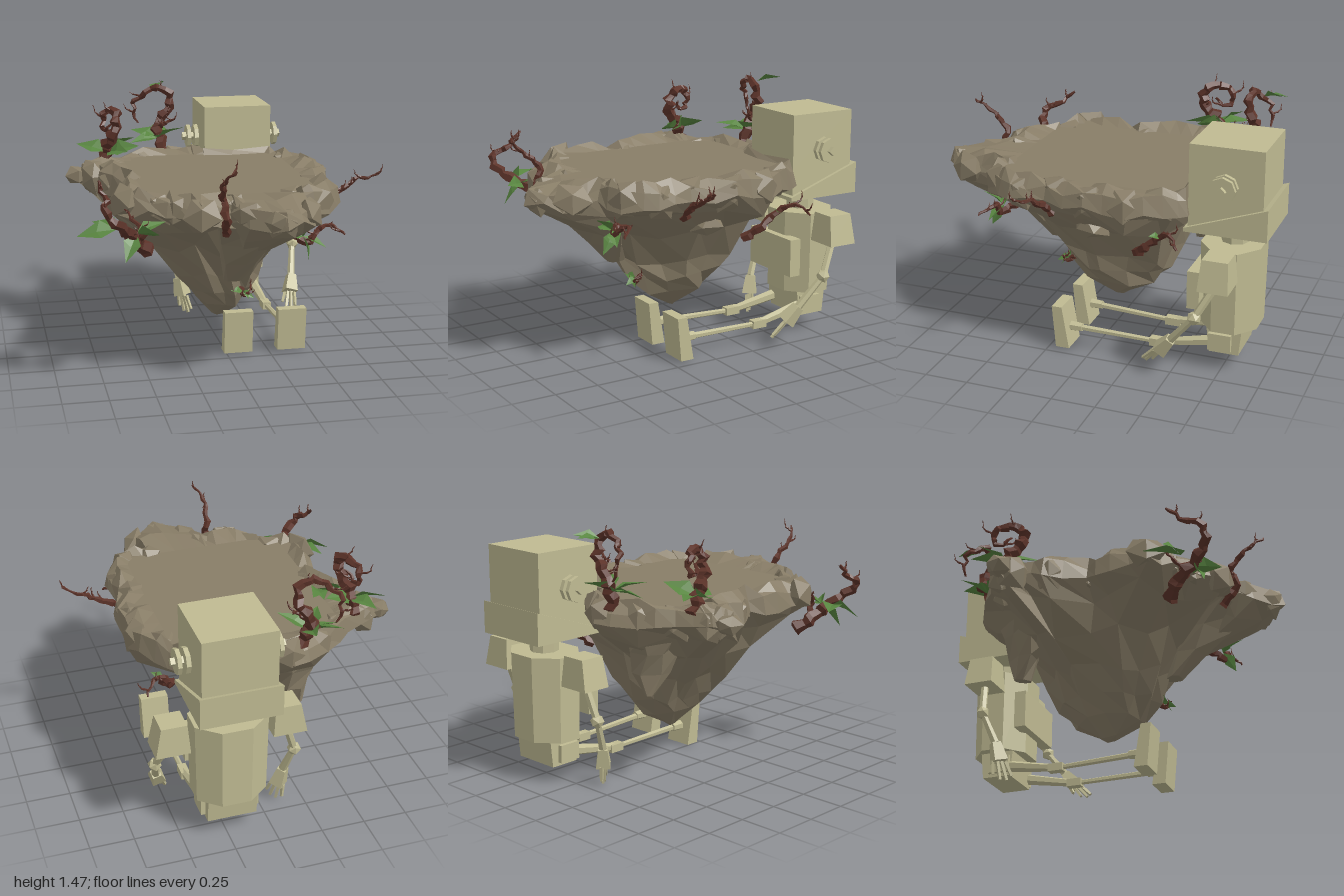
import * as THREE from 'three';

const mat = (name, color, opts = {}) => {
  const m = new THREE.MeshStandardMaterial({ color, flatShading: true, ...opts });
  m.name = name;
  return m;
};
const V = (p) => new THREE.Vector3(...p);

export function createModel() {
  const root = new THREE.Group();
  root.name = 'floatingIslandWithRobot';
  const stone = mat('stone', 0x887d67);
  const metal = mat('paleMetal', 0xbfba92);
  const bark = mat('bark', 0x5c3329);
  const leafGreen = mat('leafGreen', 0x588540, { side: THREE.DoubleSide });

  let seed = 7;
  const rnd = () => (seed = (seed * 16807) % 2147483647) / 2147483647;
  const jit = (a) => (rnd() * 2 - 1) * a;

  const group = (name, parent = root) => {
    const g = new THREE.Group();
    g.name = name;
    parent.add(g);
    return g;
  };
  const add = (parent, name, geo, m, pos = [0, 0, 0]) => {
    const mesh = new THREE.Mesh(geo, m);
    mesh.name = name;
    mesh.position.set(...pos);
    parent.add(mesh);
    return mesh;
  };
  const edit = (geo, fn) => {
    const p = geo.attributes.position, v = new THREE.Vector3();
    for (let i = 0; i < p.count; i++) {
      fn(v.fromBufferAttribute(p, i));
      p.setXYZ(i, v.x, v.y, v.z);
    }
    geo.computeVertexNormals();
    return geo;
  };

  // ---------- Island ----------
  const island = group('island');
  const corners = [
    [0, -.57], [.45, -.57], [.53, -.46], [.63, -.28], [.64, -.04], [.57, .21], [.59, .42], [.48, .59], [.32, .64],
    [.33, .85], [.15, .99], [-.02, .85], [-.09, .71], [-.26, .77], [-.37, .63], [-.5, .55], [-.66, .45], [-.63, .21],
    [-.56, .05], [-.7, -.16], [-.68, -.32], [-.78, -.37], [-.74, -.45], [-.55, -.53], [-.39, -.65], [-.16, -.75], [-.01, -.66],
  ];
  const outline = corners.flatMap(([x, z], i) => {
    const [nx, nz] = corners[(i + 1) % corners.length];
    return [[x, z], [(x + nx) / 2 + jit(.025), (z + nz) / 2 + jit(.025)]];
  });
  const N = outline.length;
  const clamp = THREE.MathUtils.clamp;
  const flat = ([x, z]) => [clamp(x * .84, -.5, .44), clamp(z * .9, -.56, .53)];
  // Each ring: height, height jitter, facet step, rule for the plan position
  const ellipse = (rx, rz, t, s, cx, ridge) => ([x, z], i) => {
    const a = Math.atan2(z + .03, x + .02), r = 1 + ridge * (i % 2 ? 1 : -1);
    const ex = cx + Math.cos(a) * rx * r, ez = -.03 + Math.sin(a) * rz * r;
    return [ex + (x * s - ex) * t + jit(.015), ez + (z * s - ez) * t + jit(.015)];
  };
  const levels = [
    [1.035, 0, 1, flat],
    [1.06, .03, 1, (p) => { const f = flat(p); return [f[0] * .5 + p[0] * .5, f[1] * .5 + p[1] * .5]; }],
    [1.02, .03, 1, (p) => [p[0] * .97, p[1] * .97]],
    [.94, .03, 1, (p) => p],
    [.85, .045, 2, ([x, z]) => [x * .87 + jit(.03), z * .87 + jit(.03)]],
    [.69, .05, 3, ellipse(.38, .4, .3, .74, -.06, .08)],
    [.52, .04, 3, ellipse(.265, .345, 0, 1, -.04, .09)],
    [.4, .03, 3, ellipse(.21, .285, 0, 1, -.01, .07)],
    [.3, .02, 6, ellipse(.145, .205, 0, 1, 0, .05)],
    [.2, .01, 9, ellipse(.04, .055, 0, 1, -.02, 0)],
  ];
  const rings = levels.map(([y, dy, step, rule]) => {
    const ring = [];
    for (let i = 0; i < N; i++) {
      if (i % step) ring.push(ring[i - 1]);
      else { const [x, z] = rule(outline[i], i / step); ring.push(new THREE.Vector3(x, y + jit(dy), z)); }
    }
    return ring;
  });
  const tris = [];
  const tri = (a, b, c) => {
    if (a !== b && b !== c && c !== a) for (const v of [a, b, c]) tris.push(v.x, v.y, v.z);
  };
  const topMid = new THREE.Vector3(-.02, 1.035, 0), tip = new THREE.Vector3(-.02, .175, -.03);
  for (let i = 0; i < N; i++) {
    const j = (i + 1) % N;
    tri(topMid, rings[0][j], rings[0][i]);
    for (let k = 0; k < rings.length - 1; k++) {
      tri(rings[k][i], rings[k][j], rings[k + 1][i]);
      tri(rings[k][j], rings[k + 1][j], rings[k + 1][i]);
    }
    const last = rings[rings.length - 1];
    tri(last[i], last[j], tip);
  }
  const rockGeo = new THREE.BufferGeometry();
  rockGeo.setAttribute('position', new THREE.Float32BufferAttribute(tris, 3));
  rockGeo.computeVertexNormals();
  add(island, 'islandRock', rockGeo, stone);

  // Faceted slabs along the rim
  const boulder = (name, pos, sx, sy, sz, turn = 0) => {
    const s = rnd() * 50;
    const geo = edit(new THREE.IcosahedronGeometry(1, 0), (v) => {
      v.multiplyScalar(.95 + .2 * Math.sin(v.x * 7.3 + v.y * 5.1 + v.z * 9.7 + s));
      v.set(v.x * sx, v.y * sy, v.z * sz);
    });
    add(island, name, geo, stone, pos).rotation.y = turn;
  };
  corners.forEach(([x, z], i) => {
    if (i < 2) return;
    const [px, pz] = corners[i - 1], [nx, nz] = corners[(i + 1) % corners.length];
    const inset = 1 - .075 / Math.hypot(x, z);
    boulder('rimSlab', [x * inset, .97 + jit(.015), z * inset], .11 + jit(.02), .105 + jit(.015), .08, Math.atan2(pz - nz, nx - px));
  });
  boulder('sideOutcrop', [-.78, .98, -.39], .08, .06, .08);
  boulder('sideLedge', [.38, .76, .02], .12, .08, .12);
  boulder('frontLedge', [.14, .94, .83], .15, .08, .13);

  // Hanging lobes below the island
  const lobe = (name, [x, y, z], r, h, dx, dz) => {
    const geo = edit(new THREE.CylinderGeometry(r, r * .2, h, 7, 3), (v) => {
      const t = .5 - v.y / h;
      v.x += dx * t + .02 * Math.sin(v.y * 40 + v.z * 25);
      v.z += dz * t + .02 * Math.sin(v.y * 33 + v.x * 25);
    });
    add(island, name, geo, stone, [x, y - h / 2, z]);
  };
  lobe('frontLobe', [.06, .9, .53], .25, .39, -.05, -.15);
  lobe('backLobe', [-.28, .88, -.4], .19, .37, .02, -.05);

  // ---------- Robot ----------
  const robot = group('robot');
  const CX = .22;
  const box = (parent, name, w, h, d, pos, rule) => {
    const geo = new THREE.BoxGeometry(w, h, d);
    return add(parent, name, rule ? edit(geo, rule) : geo, metal, pos);
  };
  const limb = (parent, name, a, b, ra, rb = ra, sides = 6) => {
    const A = V(a), B = V(b), dir = B.clone().sub(A);
    const m = add(parent, name, new THREE.CylinderGeometry(rb, ra, dir.length(), sides), metal);
    m.position.copy(A).lerp(B, .5);
    m.quaternion.setFromUnitVectors(new THREE.Vector3(0, 1, 0), dir.normalize());
    return m;
  };

  box(robot, 'head', .41, .31, .41, [CX, 1.165, -.765]);
  box(robot, 'lowerHead', .41, .18, .41, [CX, .92, -.765]);
  box(robot, 'jaw', .45, .18, .46, [CX, .92, -.77], (v) => { if (v.z > 0) v.y = Math.min(v.y, -.07); });
  limb(robot, 'neck', [CX, .7, -.77], [CX, .84, -.77], .08, .08, 8);
  const torso = add(robot, 'torso', new THREE.CylinderGeometry(.541, .52, .48, 8), metal, [CX, .49, -.767]);
  torso.geometry.rotateY(Math.PI / 8);
  torso.geometry.scale(.41, 1, .335);
  box(robot, 'chestPlate', .4, .22, .07, [CX, .48, -.595]);
  box(robot, 'pelvis', .28, .15, .2, [CX, .175, -.76], (v) => { if (v.y < 0) v.z *= .85; });

  const hand = (parent, wrist, end) => {
    const W = V(wrist), E = V(end), mid = W.clone().lerp(E, .5);
    const g = group('hand', parent);
    limb(g, 'palm', wrist, mid.toArray(), .036, .056, 4);
    const side = new THREE.Vector3(.55, 0, .83);
    [-.045, -.015, .015, .045].forEach((o, i) => {
      const a = mid.clone().addScaledVector(side, o * .8);
      const b = E.clone().addScaledVector(side, o * 1.3);
      if (i % 3 === 0) b.lerp(a, .25);
      limb(g, 'finger', a.toArray(), b.toArray(), .013, .01, 4);
    });
  };
  const arms = [
    { s: 1, elbow: [.6, .41, -.66], wrist: [.56, .24, -.52], end: [.51, .07, -.38] },
    { s: -1, elbow: [-.17, .4, -.74], wrist: [-.135, .22, -.67], end: [-.095, .005, -.63] },
  ];
  for (const { s, elbow, wrist, end } of arms) {
    const arm = group(s > 0 ? 'leftArm' : 'rightArm', robot);
    const x = CX + s * .325;
    box(arm, 'shoulder', .19, .17, .17, [x, .67, -.767], (v) => {
      if (v.y > 0) { v.x = v.x * .75 - s * .01; v.z *= .85; }
    });
    limb(arm, 'upperArm', [x, .6, -.765], elbow, .022);
    add(arm, 'elbow', new THREE.IcosahedronGeometry(.04, 0), metal, elbow);
    limb(arm, 'forearm', elbow, wrist, .018, .024);
    hand(arm, wrist, end);

    const ear = group(s > 0 ? 'leftEar' : 'rightEar', robot);
    const ex = (d) => [CX + s * d, 1.11, -.765];
    limb(ear, 'earStem', ex(.2), ex(.31), .025, .025, 4);
    limb(ear, 'earInnerDisc', ex(.215), ex(.24), .072, .072, 8);
    limb(ear, 'earOuterDisc', ex(.262), ex(.285), .072, .072, 8);

    const leg = group(s > 0 ? 'leftLeg' : 'rightLeg', robot);
    const hip = [CX + s * .12, .17, -.74], knee = [CX + s * .14, .105, -.38], ankle = [CX + s * .157, .12, .14];
    box(leg, 'hipJoint', .09, .1, .13, hip);
    limb(leg, 'thigh', hip, knee, .035, .022);
    box(leg, 'knee', .05, .045, .09, knee);
    limb(leg, 'shin', knee, ankle, .015, .019);
    limb(leg, 'ankle', [ankle[0], .12, .07], [ankle[0], .12, .14], .026, .03);
    box(leg, 'foot', .165, .25, .08, [ankle[0], .14, .175], (v) => {
      v.z += v.y > 0 ? (v.z > 0 ? .01 : .03) : -.012;
    });
  }

  // ---------- Vines ----------
  const vines = group('vines');
  const vine = (name, pts, r) => {
    const curve = new THREE.CatmullRomCurve3(pts.map(V));
    const seg = pts.length * 3, sides = 5;
    const geo = new THREE.TubeGeometry(curve, seg, r, sides, false);
    const p = geo.attributes.position, v = new THREE.Vector3();
    for (let i = 0; i < p.count; i++) {
      const k = Math.floor(i / (sides + 1)), c = curve.getPointAt(k / seg);
      v.fromBufferAttribute(p, i).sub(c).multiplyScalar((1.05 - .85 * (k / seg) ** 1.4) * (1 + .2 * Math.sin(k * 2.3)));
      c.x += r * .3 * Math.sin(k * 1.9);
      c.z += r * .3 * Math.cos(k * 2.6);
      p.setXYZ(i, c.x + v.x, c.y + v.y, c.z + v.z);
    }
    geo.computeVertexNormals();
    add(vines, name, geo, bark);
    // Small twigs
    if (r > .008) for (const t of [.35, .55, .75, .92]) {
      const a = curve.getPointAt(t), d = [jit(.05), .01 + rnd() * .04, jit(.05)];
      vine('twig', [a.toArray(), [a.x + d[0], a.y + d[1] * .6, a.z + d[2]], [a.x + d[0] * 1.4, a.y + d[1] * 1.6, a.z + d[2]]], .007);
    }
  };
  vine('frontLeftVine', [[-.5, .74, .5], [-.58, .82, .58], [-.61, .88, .67], [-.68, .95, .76], [-.75, 1.02, .77], [-.74, 1.07, .67], [-.77, 1.15, .58]], .038);
  vine('frontLeftBranch', [[-.56, .8, .56], [-.53, .88, .62], [-.58, .92, .57], [-.62, .98, .52]], .02);
  vine('curledVine', [[-.61, 1.0, -.46], [-.6, 1.13, -.41], [-.57, 1.22, -.34], [-.55, 1.32, -.35], [-.57, 1.35, -.42], [-.61, 1.31, -.49], [-.61, 1.23, -.49], [-.6, 1.22, -.43], [-.58, 1.27, -.41]], .038);
  vine('archedVine', [[-.22, 1.0, -.66], [-.24, 1.12, -.7], [-.25, 1.2, -.74], [-.18, 1.3, -.73], [-.18, 1.39, -.71], [-.26, 1.43, -.72], [-.35, 1.37, -.74], [-.39, 1.33, -.78], [-.37, 1.2, -.8]], .035);
  vine('archedBranch', [[-.24, 1.18, -.73], [-.19, 1.22, -.68], [-.15, 1.23, -.69]], .015);
  vine('frontVine', [[-.11, .86, .68], [-.13, .97, .78], [-.14, 1.06, .75], [-.15, 1.12, .8], [-.16, 1.17, .86], [-.11, 1.25, .95]], .025);
  vine('rightVine', [[.48, .84, .2], [.57, .92, .21], [.68, .97, .21], [.75, 1.02, .2], [.8, 1.02, .23], [.87, 1.06, .26]], .022);
  vine('rearRightVine', [[.38, .64, -.26], [.45, .71, -.33], [.47, .79, -.42], [.55, .84, -.5], [.6, .78, -.56]], .026);
  vine('frontRightVine', [[.22, .8, .45], [.32, .78, .53], [.37, .75, .57], [.42, .82, .56], [.5, .84, .55], [.56, .8, .62]], .025);
  vine('lowerVine', [[.04, .4, .2], [.07, .41, .25], [.08, .38, .28], [.12, .43, .3]], .018);

  // Leaves: pointed blades folded along the midrib, growing along +z
  const leafGeo = new THREE.BufferGeometry();
  leafGeo.setAttribute('position', new THREE.Float32BufferAttribute(
    [0, 0, 0, .28, .1, .4, 0, 0, .5, 0, 0, .5, .28, .1, .4, 0, -.1, 1,
      0, 0, 0, 0, 0, .5, -.28, .1, .4, 0, 0, .5, 0, -.1, 1, -.28, .1, .4], 3));
  leafGeo.computeVertexNormals();
  const leaves = group('leaves');
  const sprig = (base, dirs, len) => dirs.forEach((d) => {
    const m = add(leaves, 'leaf', leafGeo, leafGreen, base);
    m.lookAt(V(base).add(V(d)));
    m.rotateZ(jit(.9));
    m.scale.setScalar(len);
  });
  sprig([-.68, .9, .63], [[-1, -.1, -.1], [-.5, .1, -.8]], .21);
  sprig([-.58, .88, .66], [[.7, .2, .8], [-.3, -.5, .4], [.9, .35, -.2]], .17);
  sprig([-.6, 1.1, -.42], [[-1, .3, -.5], [.9, .3, .5], [.5, .25, 1], [-.4, .2, -1], [.8, .4, -.4]], .2);
  sprig([-.25, 1.12, -.7], [[-.6, .35, .9], [.2, .5, -1], [-1, .35, -.6], [.6, .4, .4], [-1, 0, .3]], .19);
  sprig([-.25, 1.41, -.78], [[.1, .2, -1], [.5, .3, -1]], .14);
  sprig([.34, .79, .56], [[.2, -.8, .5], [-.9, .2, .3], [.8, -.3, .3], [.1, .5, .6]], .14);
  sprig([.07, .41, .27], [[-.8, .2, .4], [.7, -.4, .5], [.2, -.2, .6]], .08);
  sprig([.47, .79, -.42], [[.7, .3, .4]], .08);
  return root;
}
